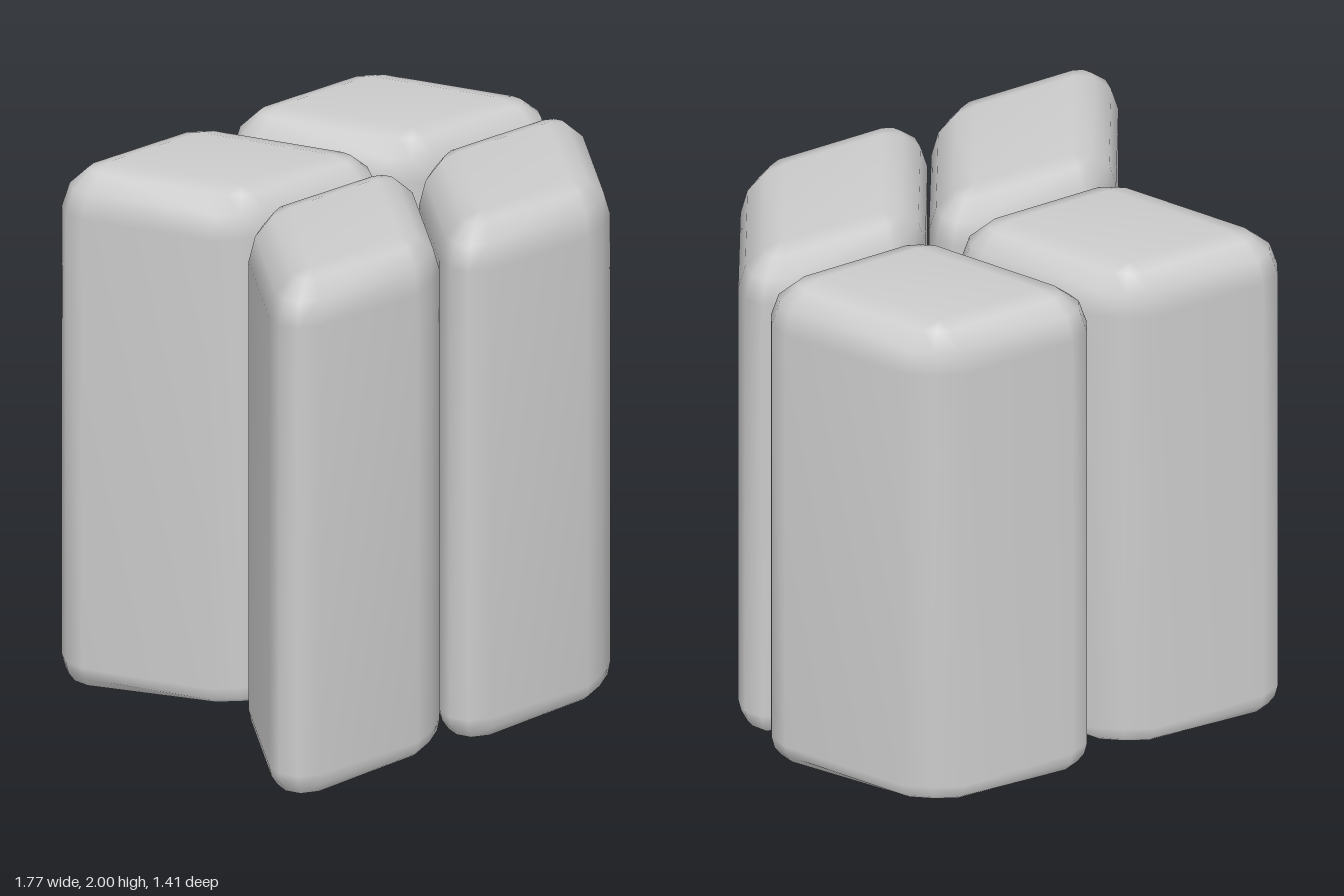
import * as THREE from 'three';
import { mergeVertices } from 'three/addons/utils/BufferGeometryUtils.js';

// One acute and one obtuse corner of the slanted column: core point plus rounded outline [x, z]
const corners = [
  { core: [0.322, -0.2175], rim: [[0.387, -0.3525], [0.465, -0.32], [0.498, -0.255], [0.484, -0.18]], lip: 0 },
  { core: [0.077, 0.2175], rim: [[0.243, 0.24], [0.153, 0.305], [0.054, 0.3525]], lip: 0.018 },
];

// Height and share of the rounding kept at each ring, from the open bottom to the flat top
const rings = [[0, 0.8], [0.035, 0.94], [0.08, 1], [1.83, 1], [1.92, 0.84], [1.98, 0.46], [2, 0]];

// Rounded rhombic shell, open underneath; mirror = -1 flips the slant
function columnGeometry(mirror) {
  // The second half of the outline is the first half turned by 180 degrees
  const outline = [1, -1].flatMap((h) => corners.flatMap(({ core, rim, lip }) =>
    rim.map((p) => ({ core: core.map((v) => v * h), p: p.map((v) => v * h), lip }))));
  const n = outline.length;
  const positions = [];
  const index = [];
  const tri = (a, b, c) => (mirror > 0 ? index.push(a, b, c) : index.push(a, c, b));

  rings.forEach(([y, s], r) => {
    for (const { core, p, lip } of outline) {
      const x = core[0] + (p[0] - core[0]) * s;
      const z = core[1] + (p[1] - core[1]) * s;
      positions.push(x, r === 0 ? y + lip : y, z * mirror);
    }
  });
  for (let r = 0; r < rings.length - 1; r++) {
    for (let i = 0; i < n; i++) {
      const a = r * n + i;
      const b = r * n + (i + 1) % n;
      tri(a, a + n, b);
      tri(a + n, b + n, b);
    }
  }
  // Flat top between the four core points
  const t = (rings.length - 1) * n;
  tri(t, t + 7, t + 4);
  tri(t, t + 11, t + 7);

  let geometry = new THREE.BufferGeometry();
  geometry.setAttribute('position', new THREE.Float32BufferAttribute(positions, 3));
  geometry.setIndex(index);
  geometry = mergeVertices(geometry);
  // Drop the triangles that collapsed at the core points
  const old = geometry.index.array;
  const kept = [];
  for (let i = 0; i < old.length; i += 3) {
    const [a, b, c] = [old[i], old[i + 1], old[i + 2]];
    if (a !== b && b !== c && c !== a) kept.push(a, b, c);
  }
  geometry.setIndex(kept);
  geometry.computeVertexNormals();
  return geometry;
}

export function createModel() {
  const group = new THREE.Group();
  group.name = 'slantedColumns';
  const material = new THREE.MeshStandardMaterial({ color: 0xcccccc, side: THREE.DoubleSide });

  // Two columns in front, two mirrored behind
  for (const [row, mirror] of [['front', 1], ['back', -1]]) {
    const geometry = columnGeometry(mirror);
    for (const [side, x] of [['Left', 0.387], ['Right', -0.387]]) {
      const column = new THREE.Mesh(geometry, material);
      column.name = `${row}${side}Column`;
      column.position.set(x, 0, 0.3535 * mirror);
      group.add(column);
    }
  }
  return group;
}
